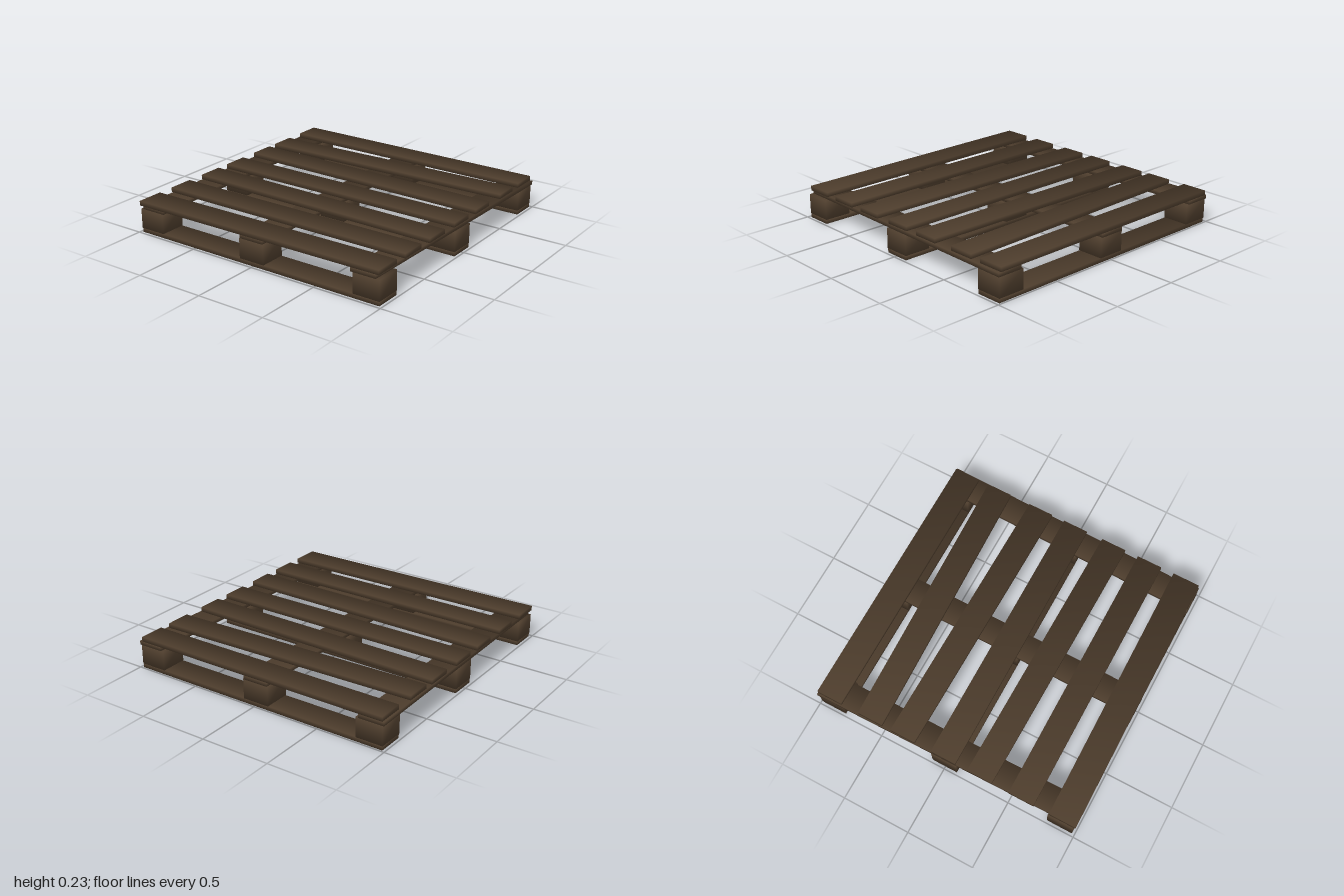
import * as THREE from 'three';

const wood = new THREE.MeshStandardMaterial({ color: 0x503f2e });
wood.name = 'dark wood';

// Box whose corners share soft diagonal normals; place(sx, sz) gives each corner's [x, z]
function softBox(name, y0, y1, place) {
  const geo = new THREE.BoxGeometry(2, 2, 2);
  const pos = geo.attributes.position;
  const d = 1 / Math.sqrt(3);
  for (let i = 0; i < pos.count; i++) {
    const sx = pos.getX(i), sy = pos.getY(i), sz = pos.getZ(i);
    const [x, z] = place(sx, sz);
    geo.attributes.normal.setXYZ(i, sx * d, sy * d, sz * d);
    pos.setXYZ(i, x, sy > 0 ? y1 : y0, z);
  }
  const mesh = new THREE.Mesh(geo, wood);
  mesh.name = name;
  return mesh;
}

export function createModel() {
  const pallet = new THREE.Group();
  pallet.name = 'pallet';

  // Top planks: [centre x at back, centre x at front, half width]
  const planks = [
    [-0.897, -0.877, 0.099], [-0.588, -0.588, 0.093], [-0.272, -0.302, 0.093],
    [0.007, 0.007, 0.093], [0.322, 0.29, 0.093], [0.577, 0.632, 0.093], [0.9, 0.9, 0.094],
  ];
  planks.forEach(([back, front, w], i) => pallet.add(softBox(`topPlank${i + 1}`, 0.202, 0.235,
    (sx, sz) => [(sz < 0 ? back : front) + sx * w, sz < 0 ? -0.98 : 0.97])));

  // Cross boards: [centre z at left end, centre z at right end] along x
  const boards = [[-0.872, -0.9], [-0.012, -0.012], [0.858, 0.897]];
  boards.forEach(([left, right], i) => pallet.add(softBox(`crossBoard${i + 1}`, 0.174, 0.202,
    (sx, sz) => [sx < 0 ? -0.98 : 0.995, (sx < 0 ? left : right) + sz * 0.093])));

  // Runners on the ground with three spacer blocks on each
  [-0.886, 0.004, 0.895].forEach((x, i) => {
    pallet.add(softBox(`bottomRunner${i + 1}`, 0, 0.031,
      (sx, sz) => [x + sx * 0.093, sz * 0.98]));
    [-0.885, -0.01, 0.883].forEach((z, j) => pallet.add(softBox(`block${i + 1}${j + 1}`, 0.031, 0.174,
      (sx, sz) => [x + sx * 0.096, z + sz * 0.098])));
  });
  return pallet;
}
